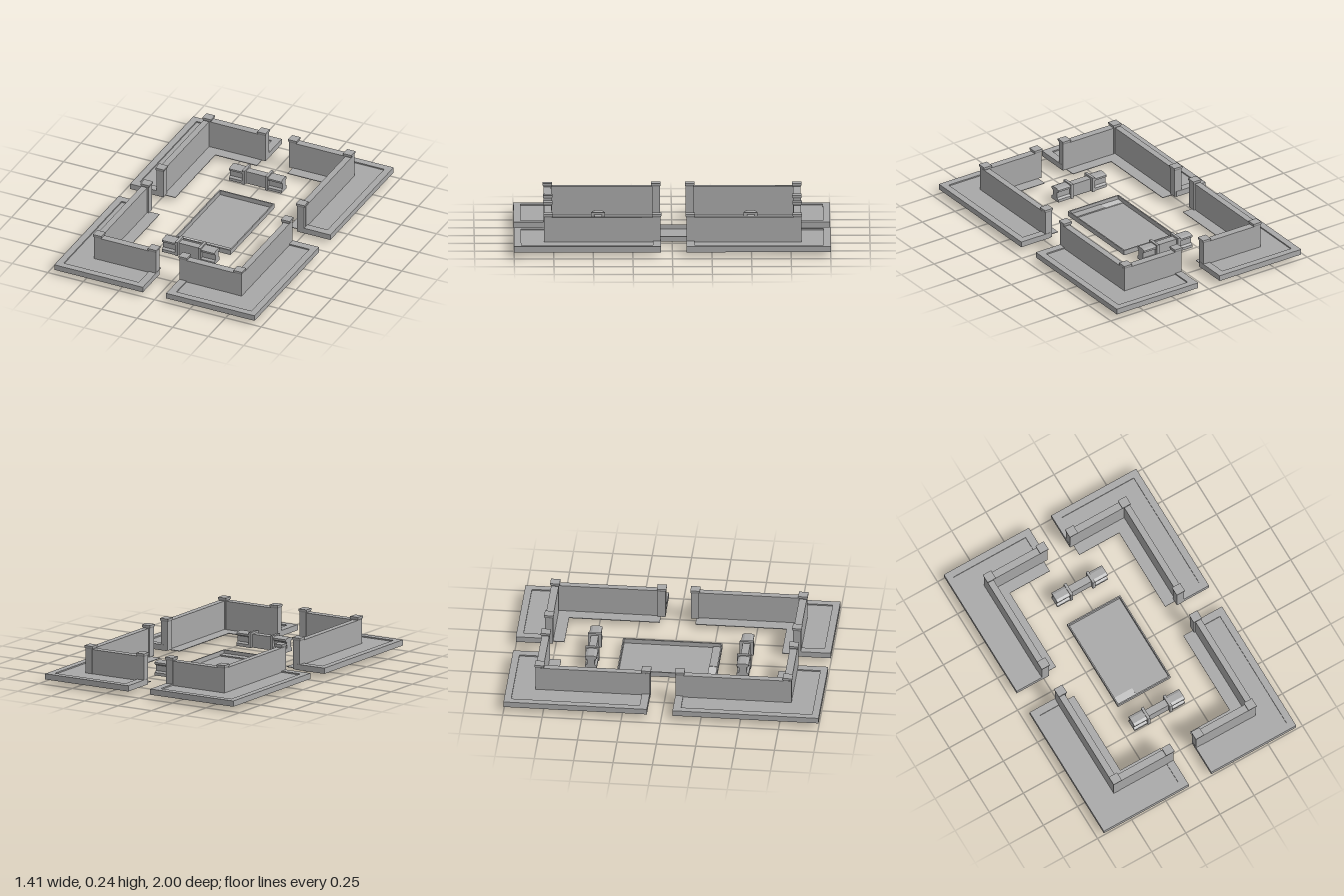
import * as THREE from 'three';

const stone = new THREE.MeshStandardMaterial({ color: 0xa8a8a8, side: THREE.DoubleSide });
stone.name = 'grey stone';
const pale = new THREE.MeshStandardMaterial({ color: 0xc4c4c4, side: THREE.DoubleSide });
pale.name = 'pale stone';

// Box between two corners; openBelow leaves out the underside
function box(parent, name, [x0, x1], [y0, y1], [z0, z1], openBelow = false, material = stone) {
  const g = new THREE.BoxGeometry(Math.abs(x1 - x0), Math.abs(y1 - y0), Math.abs(z1 - z0));
  if (openBelow) {
    const index = Array.from(g.index.array);
    index.splice(18, 6);
    g.setIndex(index);
    g.clearGroups();
  }
  g.translate((x0 + x1) / 2, (y0 + y1) / 2, (z0 + z1) / 2);
  const mesh = new THREE.Mesh(g, material);
  mesh.name = name;
  parent.add(mesh);
  return mesh;
}

// Square post with a flared cap
function post(parent, x, z) {
  const r = 0.025, cap = 0.03;
  box(parent, 'post', [x - r, x + r], [0.035, 0.222], [z - r, z + r], true);
  const flare = new THREE.CylinderGeometry(cap * Math.SQRT2, r * Math.SQRT2, 0.011, 4, 1, true).toNonIndexed();
  flare.rotateY(Math.PI / 4).computeVertexNormals();
  const mesh = new THREE.Mesh(flare, stone);
  mesh.name = 'capFlare';
  mesh.position.set(x, 0.2255, z);
  parent.add(mesh);
  box(parent, 'cap', [x - cap, x + cap], [0.231, 0.241], [z - cap, z + cap]);
}

// One L-shaped corner: rimmed terrace, wall, posts and inner ledge
function corner(sx, sz, d) {
  const group = new THREE.Group();
  group.name = 'cornerTerrace';
  const b = (name, x, y, z, open) =>
    box(group, name, x.map(v => v * sx), y, z.map(v => v * sz), open);
  const { end, ledgeEnd, ledgeIn, postEnd, wall } = d;
  const t = 0.004, rimY = [0.058, 0.07], sideY = [0.033, 0.07];
  const wallOut = wall + 0.024, wallIn = wall - 0.024;

  // thin outer sides, hollow underneath
  b('outerSide', [0.704 - t, 0.704], sideY, [end, 1]);
  b('outerSide', [0.082, 0.704], sideY, [1 - t, 1]);
  b('endSide', [0.082, 0.082 + t], sideY, [wallIn, 1]);
  b('endSide', [0.48, 0.704], sideY, [end, end + t]);

  // raised rim
  b('rim', [0.66, 0.704], rimY, [end, 1]);
  b('rim', [0.082, 0.66], rimY, [0.955, 1]);
  b('rim', [0.082, 0.132], rimY, [wallIn, 0.955]);
  b('rim', [0.48, 0.66], rimY, [end, end + 0.05]);

  // sunken terrace bed
  b('terraceBed', [0.52, 0.66], [0.058, 0.062], [end + 0.05, 0.955]);
  b('terraceBed', [0.132, 0.52], [0.058, 0.062], [wallOut, 0.955]);

  // ledge on the courtyard side
  b('ledge', [0.4, 0.48], [0.032, 0.036], [ledgeEnd, wallIn]);
  b('ledge', [0.108, 0.4], [0.032, 0.036], [ledgeIn, wallIn]);

  // walls and posts
  b('wall', [0.479, 0.52], [0.035, 0.22], [postEnd, wallOut], true);
  b('wall', [0.11, 0.479], [0.035, 0.22], [wallIn, wallOut], true);
  for (const [x, z] of [[0.494, wall], [0.108, wall], [0.494, postEnd]]) post(group, x * sx, z * sz);
  return group;
}

// Low balustrade: moulded end blocks, slim uprights and a middle panel
function balustrade(z) {
  const group = new THREE.Group();
  group.name = 'balustrade';
  const half = [[0.038, 0.033], [0.038, 0.052], [0.024, 0.062], [0.024, 0.098], [0.038, 0.106], [0.038, 0.118], [0.02, 0.125]];
  const outline = [...half, ...half.slice().reverse().map(([a, y]) => [-a, y])];
  const shape = new THREE.Shape(outline.map(([a, y]) => new THREE.Vector2(a, y)));
  for (const s of [-1, 1]) {
    const g = new THREE.ExtrudeGeometry(shape, { depth: 0.105, bevelEnabled: false });
    g.translate(0, 0, -0.0525).rotateY(Math.PI / 2);
    const block = new THREE.Mesh(g, stone);
    block.name = 'endBlock';
    block.position.set(s * 0.132 - 0.005, 0, z);
    group.add(block);
    const x = s * 0.081 - 0.005;
    box(group, 'upright', [x - 0.009, x + 0.009], [0.033, 0.133], [z - 0.044, z + 0.044]);
  }
  box(group, 'panel', [-0.08, 0.07], [0.033, 0.12], [z - 0.024, z + 0.024], true);
  return group;
}

// Shallow basin with thin sides
function basin() {
  const group = new THREE.Group();
  group.name = 'basin';
  const X = 0.193, z0 = -0.33, z1 = 0.302, t = 0.008, y = [0, 0.033];
  box(group, 'floor', [-X, X], [0, 0.003], [z0, z1]);
  for (const s of [-1, 1]) box(group, 'side', [s * X, s * (X - t)], y, [z0, z1]);
  box(group, 'backSide', [-X, X], y, [z0, z0 + t]);
  box(group, 'frontSide', [-X, X], y, [z1 - t, z1]);
  box(group, 'step', [-0.052, X - t], [0.003, 0.011], [0.242, z1 - t]);
  box(group, 'palePatch', [-X + t, -0.052], [0.003, 0.008], [0.24, z1 - t], false, pale);
  return group;
}

export function createModel() {
  const model = new THREE.Group();
  model.name = 'walledCourtyard';
  const front = { end: 0.073, ledgeEnd: 0.108, ledgeIn: 0.687, postEnd: 0.1, wall: 0.785 };
  const back = { end: 0.09, ledgeEnd: 0.118, ledgeIn: 0.693, postEnd: 0.113, wall: 0.79 };
  for (const sx of [-1, 1]) {
    model.add(corner(sx, 1, front));
    model.add(corner(sx, -1, back));
  }
  model.add(basin(), balustrade(0.467), balustrade(-0.497));
  return model;
}
